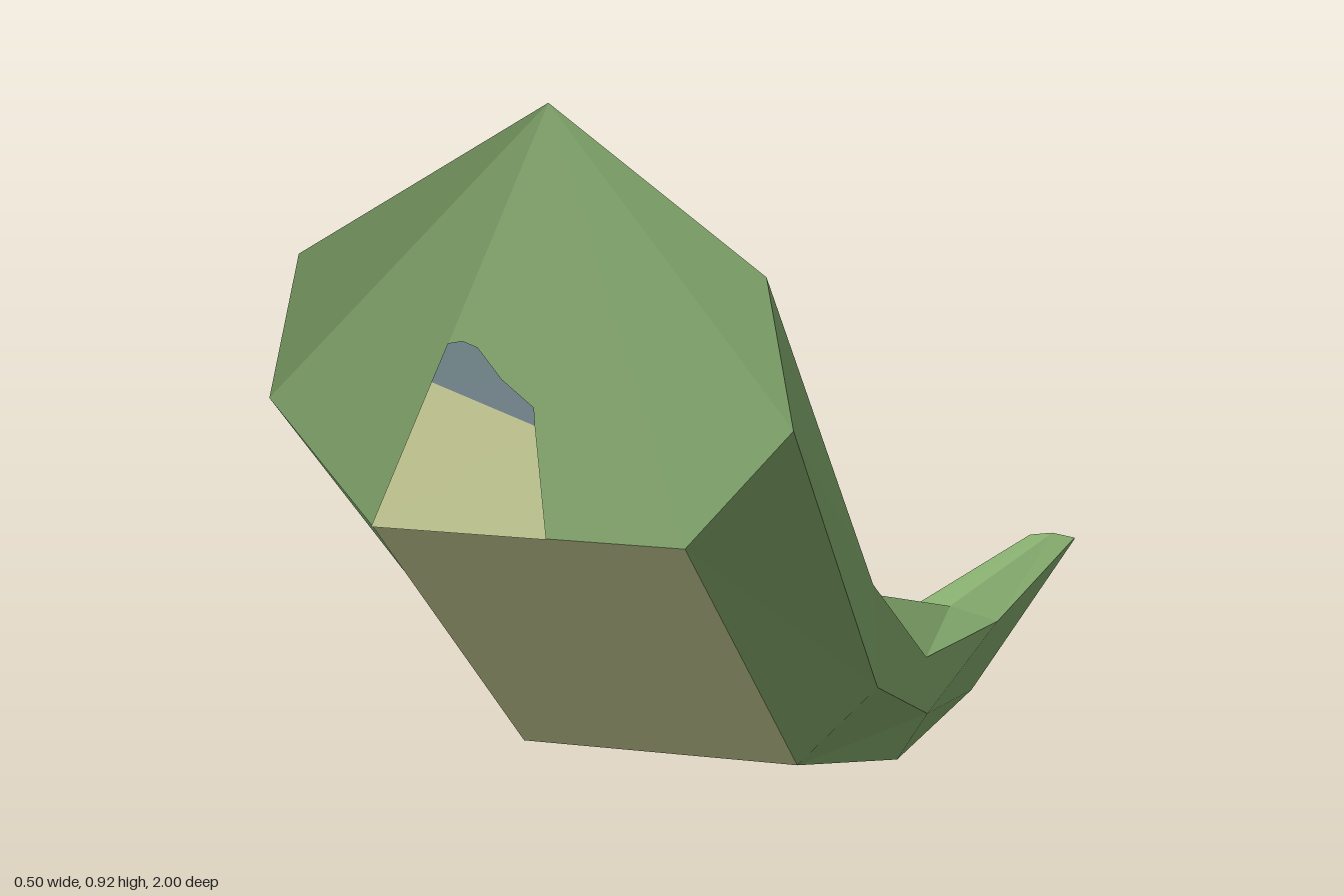
import * as THREE from 'three';

const mat = (name, color) => Object.assign(new THREE.MeshStandardMaterial({ color, flatShading: true }), { name });

// Half cross-sections [x, y, z]: ridge, shoulder, flank, belly edge
const SECTIONS = [
  [[0, 0.915, 0.93], [0.222, 0.777, 0.985], [0.25, 0.645, 0.997], [0.15, 0.533, 1]],
  [[0, 0.5, 0.56], [0.203, 0.405, 0.595], [0.218, 0.31, 0.63], [0.145, 0.233, 0.662]],
  [[0, 0.266, 0.105], [0.128, 0.2, 0.13], [0.135, 0.14, 0.15], [0.106, 0.09, 0.172]],
  [[0, 0.106, -0.44], [0.065, 0.092, -0.435], [0.035, 0.002, -0.42], [0, 0, -0.415]],
  [[0, 0.074, -1], [0.033, 0.069, -1], [0.033, 0.067, -1], [0, 0.067, -1]],
];

// Mirror a half section into a closed ring of seven points
const ring = (half) => [...half, ...half.slice(1).reverse().map(([x, y, z]) => [-x, y, z])];

function meshFrom(name, triangles, material) {
  const geo = new THREE.BufferGeometry();
  geo.setAttribute('position', new THREE.Float32BufferAttribute(triangles.flat(2), 3));
  geo.computeVertexNormals();
  const mesh = new THREE.Mesh(geo, material);
  mesh.name = name;
  return mesh;
}

export function createModel() {
  const green = mat('leafGreen', 0x8ab272);
  const cream = mat('bellyCream', 0xd4da9e);
  const blue = mat('slateBlue', 0x758b92);
  const group = new THREE.Group();
  group.name = 'curvedTail';

  const rings = SECTIONS.map(ring);
  const n = rings[0].length;
  const skin = [], belly = [], front = [], tip = [];

  // Long faces between neighbouring rings; the underside is cream up to the last bend
  for (let i = 0; i < rings.length - 1; i++) {
    for (let j = 0; j < n; j++) {
      const k = (j + 1) % n;
      const a = rings[i][j], b = rings[i][k], c = rings[i + 1][j], d = rings[i + 1][k];
      const target = j === 3 && i < 3 ? belly : skin;
      if (j <= 3) target.push([a, b, c], [b, d, c]);
      else target.push([a, b, d], [a, d, c]);
    }
  }

  // End caps, fanned from the ridge
  const last = rings[rings.length - 1];
  for (let j = 1; j < n - 1; j++) {
    front.push([rings[0][0], rings[0][j + 1], rings[0][j]]);
    tip.push([last[0], last[j], last[j + 1]]);
  }

  group.add(
    meshFrom('tailSkin', skin, green),
    meshFrom('tailBelly', belly, cream),
    meshFrom('frontCap', front, green),
    meshFrom('tipCap', tip, green),
  );

  // Flat patches lying on the sloped middle of the front cap
  const patch = (name, outline, material) => {
    const geo = new THREE.ShapeGeometry(new THREE.Shape(outline.map(([x, y]) => new THREE.Vector2(x, y))));
    const p = geo.attributes.position;
    for (let i = 0; i < p.count; i++) p.setZ(i, 0.933 + ((0.915 - p.getY(i)) / 0.382) * 0.07);
    geo.computeVertexNormals();
    const mesh = new THREE.Mesh(geo, material);
    mesh.name = name;
    group.add(mesh);
  };
  patch('creamPatch', [[-0.15, 0.533], [0.02, 0.533], [0.004, 0.632], [-0.098, 0.665]], cream);
  patch('bluePatch', [[-0.098, 0.665], [0.004, 0.632], [0.002, 0.648], [-0.03, 0.671],
    [-0.055, 0.698], [-0.07, 0.703], [-0.084, 0.7]], blue);

  return group;
}
